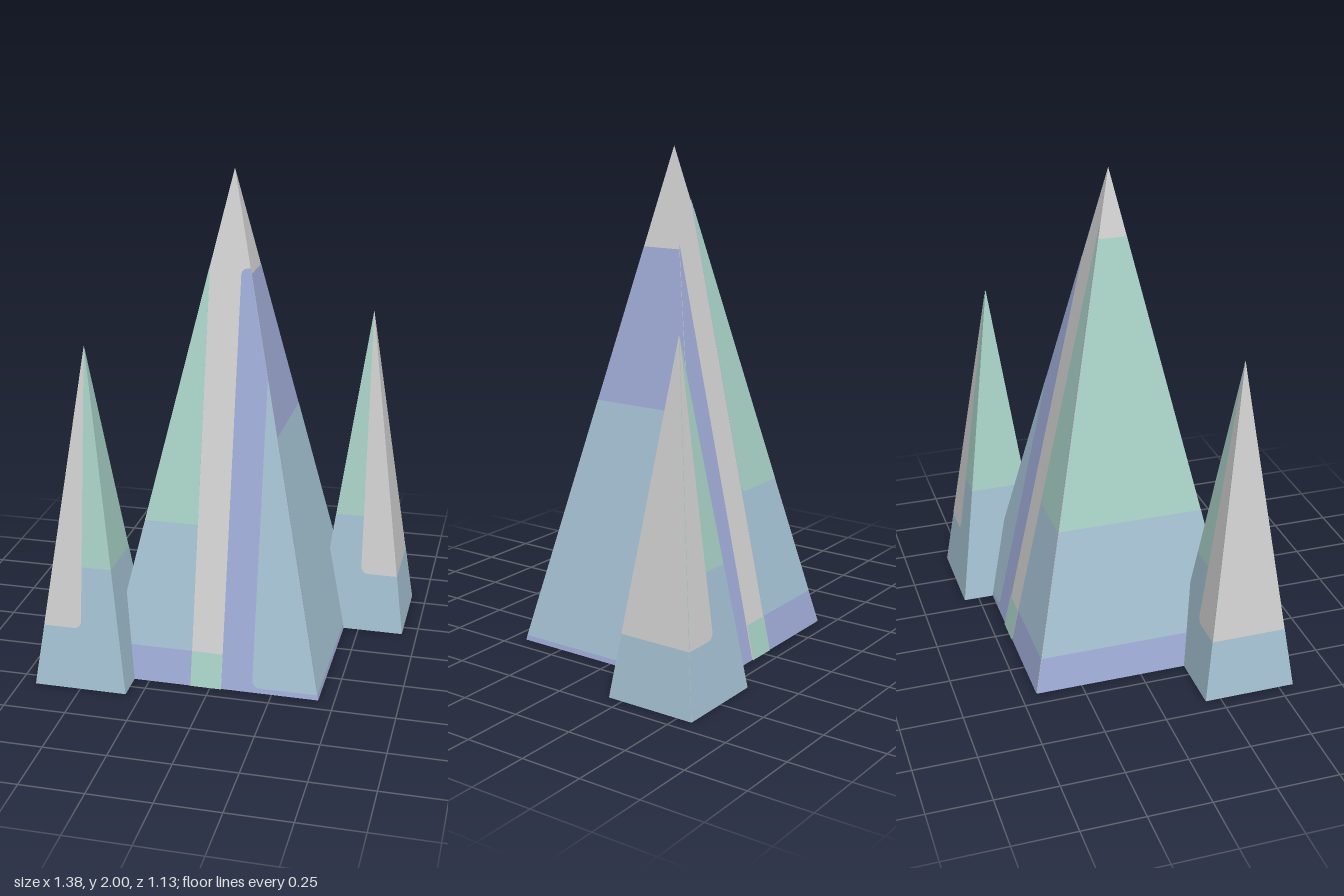
import * as THREE from 'three';

const mat = (name, color) => {
  const m = new THREE.MeshStandardMaterial({ color });
  m.name = name;
  return m;
};

// Rectangle outline, counter-clockwise, with optionally rounded corners
function rect(x0, y0, x1, y1, r) {
  if (!r) return [[x0, y0], [x1, y0], [x1, y1], [x0, y1]];
  const pts = [];
  [[x1 - r, y1 - r], [x0 + r, y1 - r], [x0 + r, y0 + r], [x1 - r, y0 + r]].forEach(([cx, cy], q) => {
    for (let i = 0; i <= 6; i++) {
      const a = (q + i / 6) * Math.PI / 2;
      pts.push([cx + r * Math.cos(a), cy + r * Math.sin(a)]);
    }
  });
  return pts;
}

// Keep the part of a convex outline where a*x + b*y + c >= 0
function clip(pts, a, b, c) {
  const out = [];
  pts.forEach((p, i) => {
    const q = pts[(i + 1) % pts.length];
    const dp = a * p[0] + b * p[1] + c, dq = a * q[0] + b * q[1] + c;
    if (dp >= 0) out.push(p);
    if (dp * dq < 0) {
      const t = dp / (dp - dq);
      out.push([p[0] + (q[0] - p[0]) * t, p[1] + (q[1] - p[1]) * t]);
    }
  });
  return out;
}

const polygon = pts => new THREE.ShapeGeometry(new THREE.Shape(pts.map(p => new THREE.Vector2(...p))));

// One sloping pyramid face: painted patches, each a hair above the one before
function face(name, half, height, angle, patches) {
  const group = new THREE.Group();
  group.name = name;
  group.rotation.y = angle;
  const k = half / height;
  patches.forEach(([material, x0, y0, x1, y1, r = 0], layer) => {
    let pts = rect(x0, y0, x1, y1, r);
    pts = clip(pts, 0, 1, 0);
    pts = clip(pts, 1, -k, half);
    pts = clip(pts, -1, -k, half);
    if (pts.length < 3) return;
    const geo = polygon(pts), pos = geo.attributes.position;
    for (let i = 0; i < pos.count; i++) pos.setZ(i, half - k * pos.getY(i) + layer * 0.0008);
    geo.computeVertexNormals();
    const mesh = new THREE.Mesh(geo, material);
    mesh.name = `${name} ${material.name}`;
    group.add(mesh);
  });
  return group;
}

// Flat underside panel, outline given in x and z
function underside(name, pts, material) {
  const mesh = new THREE.Mesh(polygon(pts).rotateX(Math.PI / 2), material);
  mesh.name = name;
  return mesh;
}

function pyramid(name, half, height, faces) {
  const group = new THREE.Group();
  group.name = name;
  ['front', 'right', 'back', 'left'].forEach((side, i) =>
    group.add(face(`${side}Face`, half, height, i * Math.PI / 2, faces[i])));
  return group;
}

export function createModel() {
  const grey = mat('pale grey', 0xd2d1d1);
  const green = mat('mint green', 0xa8d2c6);
  const blue = mat('ice blue', 0xa5c2d4);
  const purple = mat('lavender', 0x9fabd6);
  const model = new THREE.Group();
  model.name = 'crystalCluster';
  const F = 9; // far beyond any face

  // Large central spire
  const h = 0.436;
  const main = pyramid('centralSpire', h, 2, [
    [
      [grey, -F, -F, F, F],
      [purple, 0.045, -F, F, 1.63, 0.025],
      [blue, 0.17, 0.02, F, F, 0.03],
      [purple, -F, -F, -0.08, F],
      [blue, -F, 0.14, -0.08, F],
      [green, -F, 0.64, -0.08, F],
      [green, -0.08, -F, 0.045, 0.14],
    ],
    [
      [grey, -F, -F, F, F],
      [purple, -F, -F, F, 1.61],
      [blue, -F, 0.02, F, 1.0],
    ],
    [
      [grey, -F, -F, F, F],
      [purple, -F, -F, -0.08, 1.63],
      [blue, -F, 0.02, -0.2, F, 0.03],
      [purple, 0.045, -F, F, F],
      [blue, 0.045, 0.14, F, F],
      [green, 0.045, 0.64, F, 1.76, 0.025],
      [green, -0.08, -F, 0.045, 0.14],
    ],
    [
      [grey, -F, -F, F, F],
      [green, -F, -F, F, 1.74],
      [blue, -F, -F, F, 0.64],
      [purple, -F, -F, F, 0.14],
    ],
  ]);
  main.add(
    underside('baseLeft', [[-h, -h], [-0.045, -h], [-0.08, h], [-h, h]], purple),
    underside('baseStripe', [[-0.045, -h], [0.08, -h], [0.045, h], [-0.08, h]], green),
    underside('baseRight', [[0.08, -h], [h, -h], [h, h], [0.045, h]], purple));
  model.add(main);

  // Two small spires at opposite corners, green on the inner side and grey outside
  const s = 0.187;
  const greyFace = [[grey, -F, -F, F, F], [blue, -F, -F, F, 0.25]];
  const greenFace = [[green, -F, -F, F, F], [blue, -F, -F, F, 0.5]];
  const greyOnRight = [...greenFace, [grey, 0, 0.25, F, F, 0.03]];
  const greyOnLeft = [...greenFace, [grey, -F, 0.25, 0, F, 0.03]];
  for (const side of [1, -1]) {
    const faces = side > 0
      ? [greyOnRight, greyFace, greyOnLeft, greenFace]
      : [greyOnLeft, greenFace, greyOnRight, greyFace];
    const spire = pyramid(side > 0 ? 'backLeftSpire' : 'frontRightSpire', s, 1.37, faces);
    spire.add(underside('base', rect(-s, -s, s, s, 0), purple));
    spire.position.set(0.5 * side, 0, -0.375 * side);
    model.add(spire);
  }
  return model;
}
